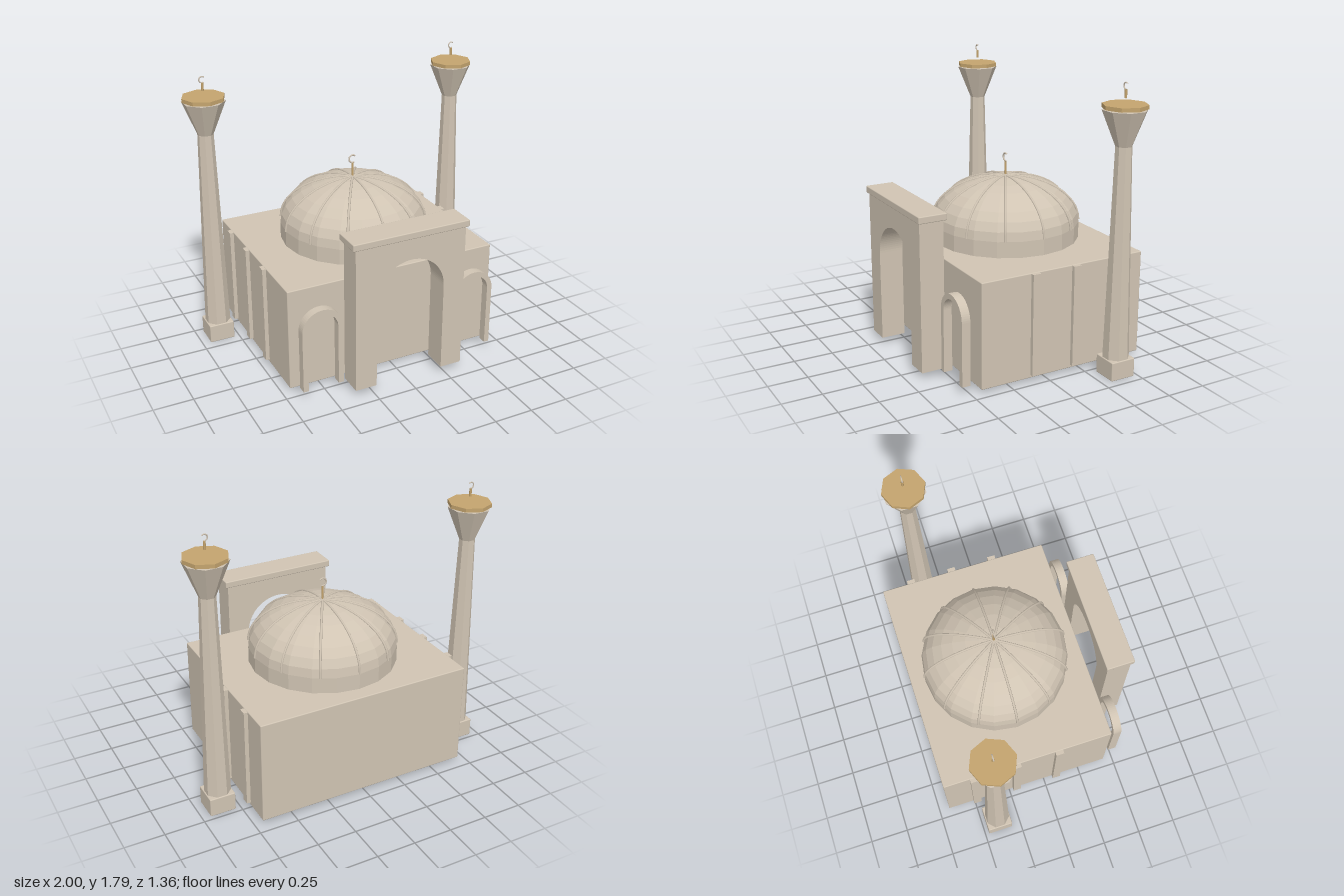
import * as THREE from 'three';
import { RoundedBoxGeometry } from 'three/addons/geometries/RoundedBoxGeometry.js';

const stone = new THREE.MeshStandardMaterial({ color: 0xd0c4b3 });
stone.name = 'stone';
const gold = new THREE.MeshStandardMaterial({ color: 0xc4a46e });
gold.name = 'gold';

function add(parent, name, geometry, material, x = 0, y = 0, z = 0) {
  const mesh = new THREE.Mesh(geometry, material);
  mesh.name = name;
  mesh.position.set(x, y, z);
  parent.add(mesh);
  return mesh;
}

// Splits shared corners so every facet is flat
function faceted(geometry) {
  const g = geometry.index ? geometry.toNonIndexed() : geometry;
  g.computeVertexNormals();
  return g;
}

// Softly bevelled block given by its limits
function block(parent, name, x0, x1, y0, y1, z0, z1, bevel = 0.006) {
  const g = new RoundedBoxGeometry(x1 - x0, y1 - y0, z1 - z0, 2, bevel);
  return add(parent, name, g, stone, (x0 + x1) / 2, (y0 + y1) / 2, (z0 + z1) / 2);
}

// Upright octagonal section with flat sides facing the axes
function octagon(rTop, rBottom, height) {
  return faceted(new THREE.CylinderGeometry(rTop, rBottom, height, 8, 1, false, Math.PI / 8));
}

// Adds the inner edge of an arch, from the right foot over to the left foot
function innerArch(shape, half, foot, spring) {
  shape.lineTo(half, foot);
  shape.lineTo(half, spring);
  shape.absarc(0, spring, half, 0, Math.PI, false);
  shape.lineTo(-half, foot);
}

// Pole topped by an open crescent
function finial(parent, y0, y1, poleRadius, size) {
  const g = new THREE.Group();
  g.name = 'finial';
  add(g, 'finialPole', new THREE.CylinderGeometry(poleRadius, poleRadius, y1 - y0, 8), gold, 0, (y0 + y1) / 2);
  const arc = new THREE.TorusGeometry(size, size * 0.22, 6, 16, Math.PI * 1.4);
  add(g, 'finialCrescent', arc, stone, 0, y1 + size).rotation.z = Math.PI * 0.25;
  parent.add(g);
  return g;
}

function makeDome() {
  const dome = new THREE.Group();
  dome.name = 'dome';
  const radius = 0.47, spring = 0.79, rise = 0.292, rings = 8;

  // Short drum running up into a flattened faceted dome
  const profile = [new THREE.Vector2(radius, 0.685)];
  for (let i = 0; i <= rings; i++) {
    const a = (i / rings) * Math.PI / 2;
    profile.push(new THREE.Vector2(i === rings ? 0 : radius * Math.cos(a), spring + rise * Math.sin(a)));
  }
  add(dome, 'domeShell', faceted(new THREE.LatheGeometry(profile, 20)), stone);

  // Twelve ribs following the dome
  const ribPoints = [];
  for (let i = 0; i <= rings; i++) {
    const a = (i / rings) * Math.PI / 2;
    ribPoints.push(new THREE.Vector3(radius * Math.cos(a), spring + rise * Math.sin(a), 0));
  }
  const rib = new THREE.TubeGeometry(new THREE.CatmullRomCurve3(ribPoints), 16, 0.008, 6);
  for (let i = 0; i < 12; i++) {
    add(dome, 'domeRib', rib, stone).rotation.y = i * Math.PI / 6;
  }
  finial(dome, 1.075, 1.175, 0.007, 0.025);
  dome.position.z = -0.12;
  return dome;
}

function makePortal() {
  const portal = new THREE.Group();
  portal.name = 'portal';
  const s = new THREE.Shape();
  s.moveTo(-0.365, 0.04);
  s.lineTo(-0.365, 0.985);
  s.lineTo(0.365, 0.985);
  s.lineTo(0.365, 0.04);
  innerArch(s, 0.225, 0.04, 0.62);
  const g = new THREE.ExtrudeGeometry(s, { depth: 0.155, bevelEnabled: false, curveSegments: 24 });
  add(portal, 'portalWall', g, stone, 0, 0, 0.507);
  block(portal, 'portalCornice', -0.385, 0.385, 0.982, 1.026, 0.49, 0.674);
  return portal;
}

// Freestanding arched frame beside the portal
function sideArchGeometry() {
  const s = new THREE.Shape();
  const spring = 0.445;
  s.moveTo(-0.133, 0.045);
  s.lineTo(-0.133, spring);
  s.absarc(0, spring, 0.133, Math.PI, 0, true);
  s.lineTo(0.133, 0.045);
  innerArch(s, 0.1, 0.045, spring);
  return new THREE.ExtrudeGeometry(s, { depth: 0.055, bevelEnabled: false, curveSegments: 16 });
}

function makeMinaret(x) {
  const m = new THREE.Group();
  m.name = 'minaret';
  block(m, 'minaretBase', -0.082, 0.082, 0, 0.12, -0.082, 0.082);
  add(m, 'minaretShaft', octagon(0.05, 0.082, 1.31), stone, 0, 0.765);
  add(m, 'minaretFlare', octagon(0.135, 0.05, 0.212), stone, 0, 1.526);
  const cap = faceted(new THREE.CylinderGeometry(0.135, 0.135, 0.024, 8));
  add(m, 'minaretCap', cap, gold, 0, 1.65);
  finial(m, 1.695, 1.745, 0.008, 0.019);
  m.position.set(x, 0, -0.392);
  return m;
}

export function createModel() {
  const model = new THREE.Group();
  model.name = 'domedHall';

  block(model, 'hall', -0.7, 0.7, 0.022, 0.688, -0.682, 0.438);
  model.add(makeDome(), makePortal());

  const arch = sideArchGeometry();
  for (const side of [-1, 1]) {
    add(model, 'sideArch', arch, stone, side * 0.522, 0, 0.488);
    // Shallow pilasters on the side walls
    for (const z of [0.083, -0.2, -0.483]) {
      add(model, 'pilaster', new THREE.BoxGeometry(0.03, 0.643, 0.052), stone, side * 0.71, 0.3635, z);
    }
    model.add(makeMinaret(side * 0.865));
  }
  return model;
}
